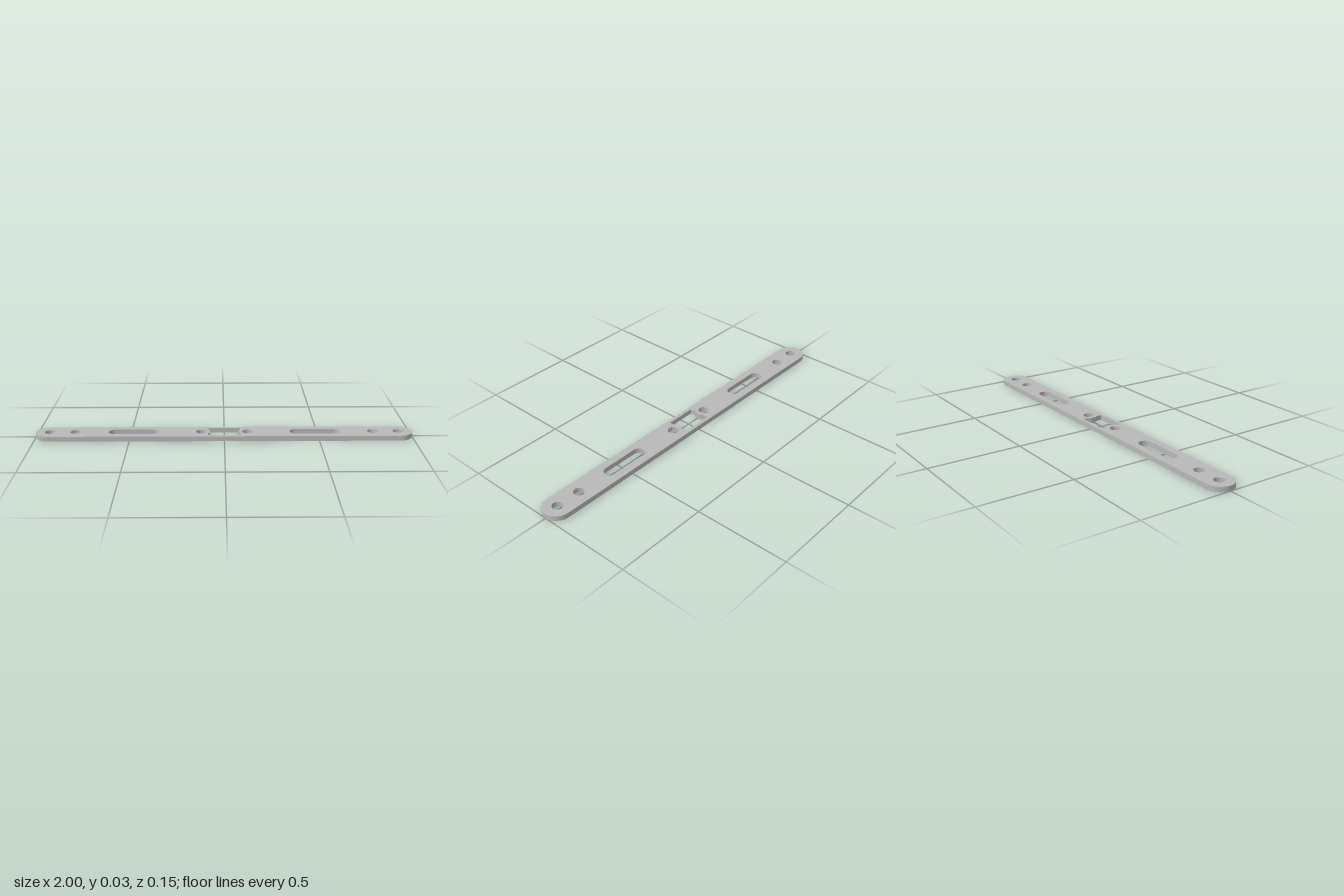
import * as THREE from 'three';
import { toCreasedNormals } from 'three/addons/utils/BufferGeometryUtils.js';

const HEIGHT = 0.027;
const HALF_WIDTH = 0.075;

// Straight-sided outline with round ends
function stadium(path, cx, halfLength, r) {
  const s = halfLength - r;
  path.absarc(cx + s, 0, r, -Math.PI / 2, Math.PI / 2, false);
  path.absarc(cx - s, 0, r, Math.PI / 2, Math.PI * 1.5, false);
  path.closePath();
  return path;
}

function roundHole(cx) {
  return new THREE.Path().absarc(cx, 0, 0.028, 0, Math.PI * 2, false);
}

// Rectangular window whose ends bulge inward around the neighbouring holes
function windowPath() {
  const w = 0.085, h = 0.056, cx = 0.123, r = 0.047;
  const a = Math.acos((cx - w) / r);
  const p = new THREE.Path();
  p.moveTo(-w, -h);
  p.lineTo(w, -h);
  p.absarc(cx, 0, r, Math.PI + a, Math.PI - a, true);
  p.lineTo(w, h);
  p.lineTo(-w, h);
  p.absarc(-cx, 0, r, a, -a, true);
  p.closePath();
  return p;
}

// Thin vertical wall following a closed outline
function wallGeometry(outline, isHole) {
  const pts = outline.filter((p, i) => i === 0 || p.distanceTo(outline[i - 1]) > 1e-5);
  if (pts[0].distanceTo(pts[pts.length - 1]) < 1e-5) pts.pop();
  if (THREE.ShapeUtils.isClockWise(pts) !== isHole) pts.reverse();
  const pos = [];
  pts.forEach((a, i) => {
    const b = pts[(i + 1) % pts.length];
    pos.push(a.x, 0, -a.y, b.x, 0, -b.y, b.x, HEIGHT, -b.y);
    pos.push(a.x, 0, -a.y, b.x, HEIGHT, -b.y, a.x, HEIGHT, -a.y);
  });
  const g = new THREE.BufferGeometry();
  g.setAttribute('position', new THREE.Float32BufferAttribute(pos, 3));
  return toCreasedNormals(g, 0.6);
}

export function createModel() {
  const group = new THREE.Group();
  group.name = 'mountingBar';
  const metal = new THREE.MeshStandardMaterial({ color: 0xb8b8b8, side: THREE.DoubleSide });
  metal.name = 'plain grey';

  const add = (name, geometry) => {
    const mesh = new THREE.Mesh(geometry, metal);
    mesh.name = name;
    group.add(mesh);
  };

  // Bar outline and its openings
  const bar = stadium(new THREE.Shape(), 0, 1, HALF_WIDTH);
  const openings = [['window', windowPath()]];
  for (const side of [-1, 1]) {
    const label = side > 0 ? 'left' : 'right';
    openings.push([label + 'Slot', stadium(new THREE.Path(), side * 0.481, 0.133, 0.034)]);
    [0.123, 0.789, 0.925].forEach((x, i) => {
      openings.push([label + ['Inner', 'Middle', 'End'][i] + 'Hole', roundHole(side * x)]);
    });
  }
  bar.holes = openings.map(([, path]) => path);

  // Top plate; the underside is open
  const top = new THREE.ShapeGeometry(bar, 20);
  top.rotateX(-Math.PI / 2).translate(0, HEIGHT, 0);
  add('topPlate', top);

  // Outer rim and the walls hanging from each opening
  add('outerRim', wallGeometry(bar.getPoints(20), false));
  for (const [name, path] of openings) add(name + 'Wall', wallGeometry(path.getPoints(20), true));

  return group;
}
